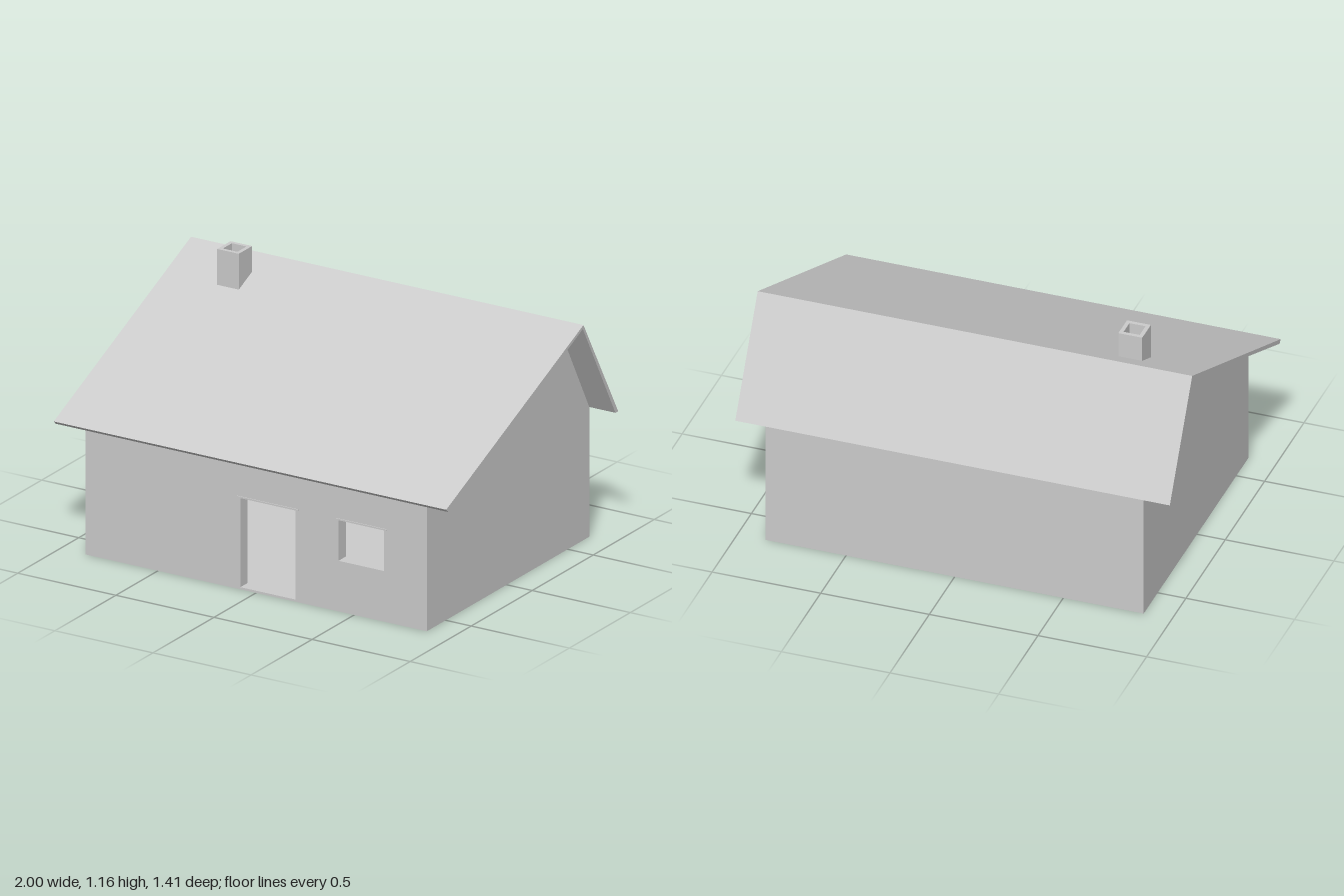
import * as THREE from 'three';

const material = new THREE.MeshStandardMaterial({ color: 0xcccccc, flatShading: true });

const HALF = 0.87;            // half the length of the walls
const FRONT = 0.655, BACK = -0.678;
const EAVE = 0.6, WALL = 0.06;

function mesh(name, geometry) {
  const m = new THREE.Mesh(geometry, material);
  m.name = name;
  return m;
}

// Box given by its lower and upper corners
function box(name, [x0, y0, z0], [x1, y1, z1]) {
  const g = new THREE.BoxGeometry(x1 - x0, y1 - y0, z1 - z0);
  g.translate((x0 + x1) / 2, (y0 + y1) / 2, (z0 + z1) / 2);
  return mesh(name, g);
}

function rectangle(x0, y0, x1, y1) {
  return [[x0, y0], [x1, y0], [x1, y1], [x0, y1]].map(p => new THREE.Vector2(...p));
}

// Slab with rectangular holes, extruded along z
function piercedSlab(outline, holes, depth) {
  const shape = new THREE.Shape(rectangle(...outline));
  holes.forEach(h => shape.holes.push(new THREE.Path(rectangle(...h))));
  return new THREE.ExtrudeGeometry(shape, { depth, bevelEnabled: false });
}

// Side profile of (z, y) points, extruded along x from x0 to x1
function sideProfile(points, x0, x1) {
  const shape = new THREE.Shape(points.map(([z, y]) => new THREE.Vector2(-z, y)));
  const g = new THREE.ExtrudeGeometry(shape, { depth: x1 - x0, bevelEnabled: false });
  return g.rotateY(Math.PI / 2).translate(x0, 0, 0);
}

export function createModel() {
  const house = new THREE.Group();
  house.name = 'house';

  // Front wall with door and window openings
  const openings = {
    door: [-0.08, 0.01, 0.2, 0.425],
    window: [0.42, 0.235, 0.652, 0.425],
  };
  const frontWall = mesh('frontWall',
    piercedSlab([-HALF, 0, HALF, 0.604], Object.values(openings), WALL));
  frontWall.position.z = FRONT - WALL;
  house.add(frontWall);

  // Thin lintels over the openings
  for (const [name, [x0, , x1, top]] of Object.entries(openings)) {
    house.add(box(name + 'Lintel', [x0 - 0.015, top, FRONT - 0.03], [x1 + 0.015, top + 0.007, FRONT + 0.004]));
  }

  // Back wall, floor
  house.add(box('backWall', [-HALF, 0, BACK], [HALF, EAVE, BACK + WALL]));
  house.add(box('floor', [-HALF + WALL, 0.002, BACK + WALL], [HALF - WALL, 0.01, FRONT - WALL]));

  // Side walls and the uneven gables above them
  for (const side of [-1, 1]) {
    const x0 = side < 0 ? -HALF : HALF - WALL, x1 = x0 + WALL;
    const label = side < 0 ? 'right' : 'left';
    house.add(box(label + 'Wall', [x0, 0, BACK + WALL], [x1, EAVE, FRONT - WALL]));
    house.add(mesh(label + 'Gable',
      sideProfile([[FRONT, EAVE], [-0.415, 1.079], [BACK, EAVE]], x0, x1)));
  }

  // Roof: long front slope, short steep back slope
  house.add(mesh('roof', sideProfile([
    [0.705, 0.607], [-0.42, 1.094], [-0.705, 0.6],
    [-0.682, 0.6], [-0.415, 1.077], [0.69, 0.592],
  ], -1, 1)));

  // Hollow chimney standing on the front slope
  const chimney = mesh('chimney',
    piercedSlab([-0.055, -0.055, 0.055, 0.055], [[-0.037, -0.037, 0.037, 0.037]], 0.17));
  chimney.rotation.x = -Math.PI / 2;
  chimney.position.set(-0.675, 0.995, -0.255);
  house.add(chimney);

  return house;
}
